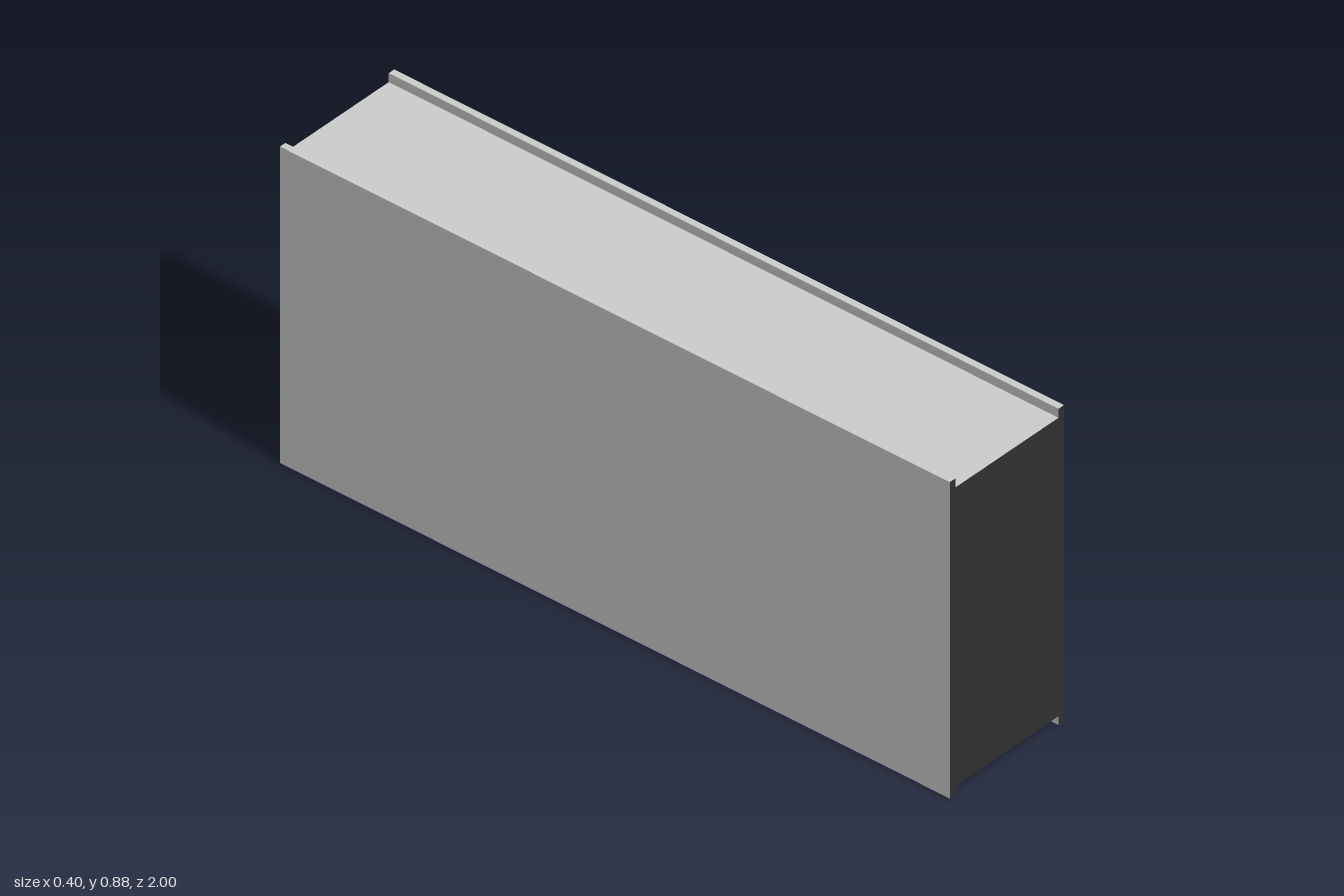
import * as THREE from 'three';

const LENGTH = 2;
const HEIGHT = 0.88;
const HALF_WIDTH = 0.198;
const PLATE = 0.019; // side plate thickness
const LIP = 0.025; // how far the plates stand past the core

export function createModel() {
  const group = new THREE.Group();
  const grey = new THREE.MeshStandardMaterial({ color: 0xcccccc });
  const dark = new THREE.MeshStandardMaterial({ color: 0x2f2f2f });
  // grey along the length, dark on the two ends
  const faces = [grey, grey, grey, grey, dark, dark];

  function addBar(name, width, height, x) {
    const bar = new THREE.Mesh(new THREE.BoxGeometry(width, height, LENGTH), faces);
    bar.name = name;
    bar.position.set(x, HEIGHT / 2, 0);
    group.add(bar);
  }

  // core between the plates
  addBar('core', 2 * (HALF_WIDTH - PLATE), HEIGHT - 2 * LIP, 0);

  // side plates, standing proud above and below the core
  for (const side of [-1, 1]) {
    addBar(side > 0 ? 'leftPlate' : 'rightPlate', PLATE, HEIGHT, side * (HALF_WIDTH - PLATE / 2));
  }

  return group;
}
